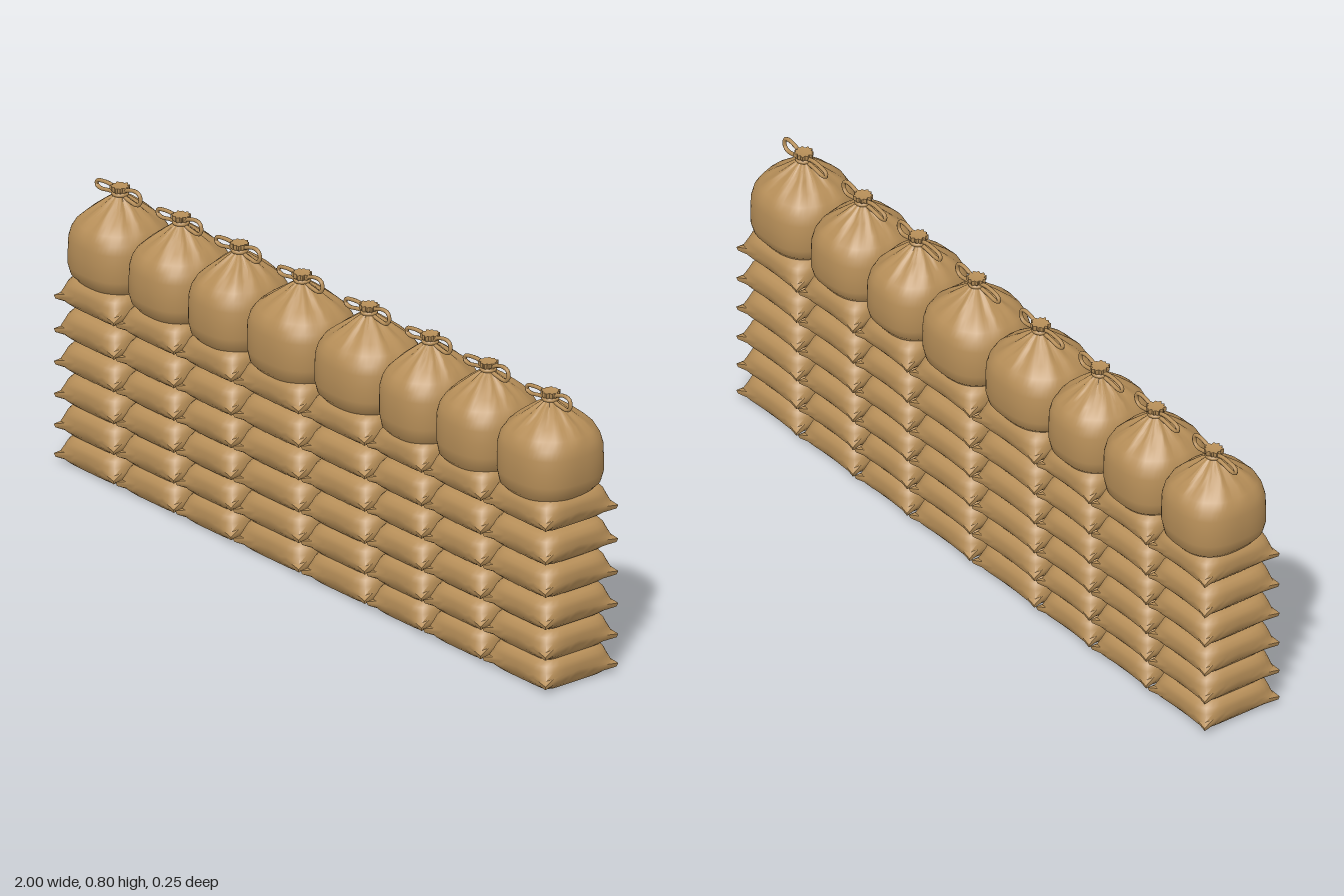
import * as THREE from 'three';
import { toCreasedNormals } from 'three/addons/utils/BufferGeometryUtils.js';

const burlap = new THREE.MeshStandardMaterial({ color: 0xb68e58 });
burlap.name = 'burlap';

let seed = 7;
const rand = () => {
  seed = (seed * 16807) % 2147483647;
  return seed / 2147483647 - 0.5;
};

// Skin closed rings, listed bottom to top; point(ring, angle) gives [x, y, z]
function loft(rings, sides, point, crease) {
  const pos = [], index = [];
  rings.forEach((ring) => {
    for (let j = 0; j < sides; j++) pos.push(...point(ring, (j / sides) * Math.PI * 2));
  });
  for (let i = 0; i < rings.length - 1; i++) {
    for (let j = 0; j < sides; j++) {
      const a = i * sides + j, c = i * sides + (j + 1) % sides;
      index.push(a, a + sides, c, c, a + sides, c + sides);
    }
  }
  const g = new THREE.BufferGeometry();
  g.setAttribute('position', new THREE.Float32BufferAttribute(pos, 3));
  g.setIndex(index);
  return toCreasedNormals(g, crease);
}

const squircle = (c, s, n) => (Math.abs(c) ** n + Math.abs(s) ** n) ** (-1 / n);

function addMesh(parent, geometry, name) {
  const m = new THREE.Mesh(geometry, burlap);
  m.name = name;
  parent.add(m);
  return m;
}

// Lying bag rings: inset, height from the seam corner, squareness, mid-edge rise, mid-edge pinch
const BAG = [
  [1, -0.022, 4, 0, 0],
  [0.03, -0.022, 9, 0, 0],
  [0.016, -0.013, 9, 0.006, 0.002],
  [0.003, -0.006, 24, 0.012, 0.011],
  [0, 0.004, 24, 0.014, 0.011],
  [0.007, 0.012, 9, 0.013, 0.005],
  [0.011, 0.03, 6, 0.004, 0],
  [0.015, 0.045, 5, 0.002, 0],
  [0.025, 0.058, 4.5, 0, 0],
  [0.045, 0.067, 4, 0, 0],
  [1, 0.072, 4, 0, 0],
];

function bagGeometry(hx, hz) {
  const plump = 1 + rand() * 0.08;
  return loft(BAG, 48, ([inset, y, n, rise, pinch], a) => {
    const c = Math.cos(a), s = Math.sin(a), r = squircle(c, s, n);
    const t = Math.min(Math.abs(c), Math.abs(s)) / Math.max(Math.abs(c), Math.abs(s));
    const d = inset + pinch * (1 - t ** 6);
    return [
      c * r * Math.max(0, hx - d),
      (y > 0.02 ? y * plump : y) + rise * (1 - t),
      s * r * Math.max(0, hz - d),
    ];
  }, 0.8);
}

// Tied sack rings: radius fraction, height, squareness, pleat depth
const SACK = [
  [0, 0.515, 2, 0],
  [0.78, 0.518, 2.6, 0],
  [0.93, 0.54, 2.8, 0],
  [0.99, 0.57, 2.7, 0],
  [1, 0.61, 2.6, 0],
  [1, 0.645, 2.5, 0],
  [0.96, 0.67, 2.4, 0],
  [0.87, 0.692, 2.2, 0.012],
  [0.68, 0.714, 2.1, 0.035],
  [0.45, 0.736, 2, 0.08],
  [0.25, 0.755, 2, 0.12],
  [0.13, 0.766, 2, 0.1],
  [0.13, 0.772, 2, 0.1],
  [0.185, 0.779, 2, 0.12],
  [0.185, 0.79, 2, 0.12],
  [0, 0.786, 2, 0],
];

function sackGeometry(hx, hz) {
  const turn = rand() * 6, tilt = rand() * 0.024;
  return loft(SACK, 64, ([f, y, n, pleat], a) => {
    const c = Math.cos(a), s = Math.sin(a);
    const fold = 1 + pleat * (Math.cos(11 * a + turn) + 0.5 * Math.cos(5 * a - turn));
    const r = f * squircle(c, s, n) * fold;
    const sag = y < 0.56 ? tilt * s * f : 0;
    const rx = THREE.MathUtils.lerp(hz, hx, Math.min(1, f * 1.2));
    return [c * r * rx, y + sag, s * r * hz];
  }, 0.75);
}

// Bow loops at the neck
function bow(side) {
  const pts = side < 0
    ? [[0, 0.77], [-0.035, 0.781], [-0.07, 0.78], [-0.092, 0.774], [-0.095, 0.763], [-0.08, 0.757], [-0.045, 0.762], [0, 0.767]]
    : [[0, 0.77], [0.03, 0.786], [0.06, 0.793], [0.078, 0.788], [0.082, 0.769], [0.07, 0.757], [0.04, 0.759], [0, 0.767]];
  const curve = new THREE.CatmullRomCurve3(pts.map(([x, y]) => new THREE.Vector3(x, y, 0)));
  return new THREE.TubeGeometry(curve, 32, 0.0055, 8);
}

export function createModel() {
  const model = new THREE.Group();
  model.name = 'sandbagWall';
  const edges = [-1, -0.75, -0.507, -0.275, 0, 0.267, 0.497, 0.737, 1];
  const seams = [0.022, 0.105, 0.192, 0.283, 0.375, 0.47];
  const loops = [bow(-1), bow(1)];
  const knot = new THREE.TorusGeometry(0.018, 0.0055, 8, 24).rotateX(Math.PI / 2);

  for (let i = 0; i < 8; i++) {
    const x = (edges[i] + edges[i + 1]) / 2, hx = (edges[i + 1] - edges[i]) / 2;

    // Column of lying bags
    const column = new THREE.Group();
    column.name = 'bagColumn';
    column.position.x = x;
    seams.forEach((y) => {
      addMesh(column, bagGeometry(hx, 0.127), 'lyingBag').position.y = y;
    });
    model.add(column);

    // Standing sack tied with cord
    const sack = new THREE.Group();
    sack.name = 'tiedSack';
    sack.position.x = x;
    addMesh(sack, sackGeometry(Math.min(hx + 0.003, i % 7 ? 1 : hx), 0.127), 'sackBody');
    loops.forEach((g) => addMesh(sack, g, 'bowLoop'));
    addMesh(sack, knot, 'neckCord').position.y = 0.769;
    // short cord ends hanging in front of and behind the neck
    model.add(sack);
  }
  return model;
}
